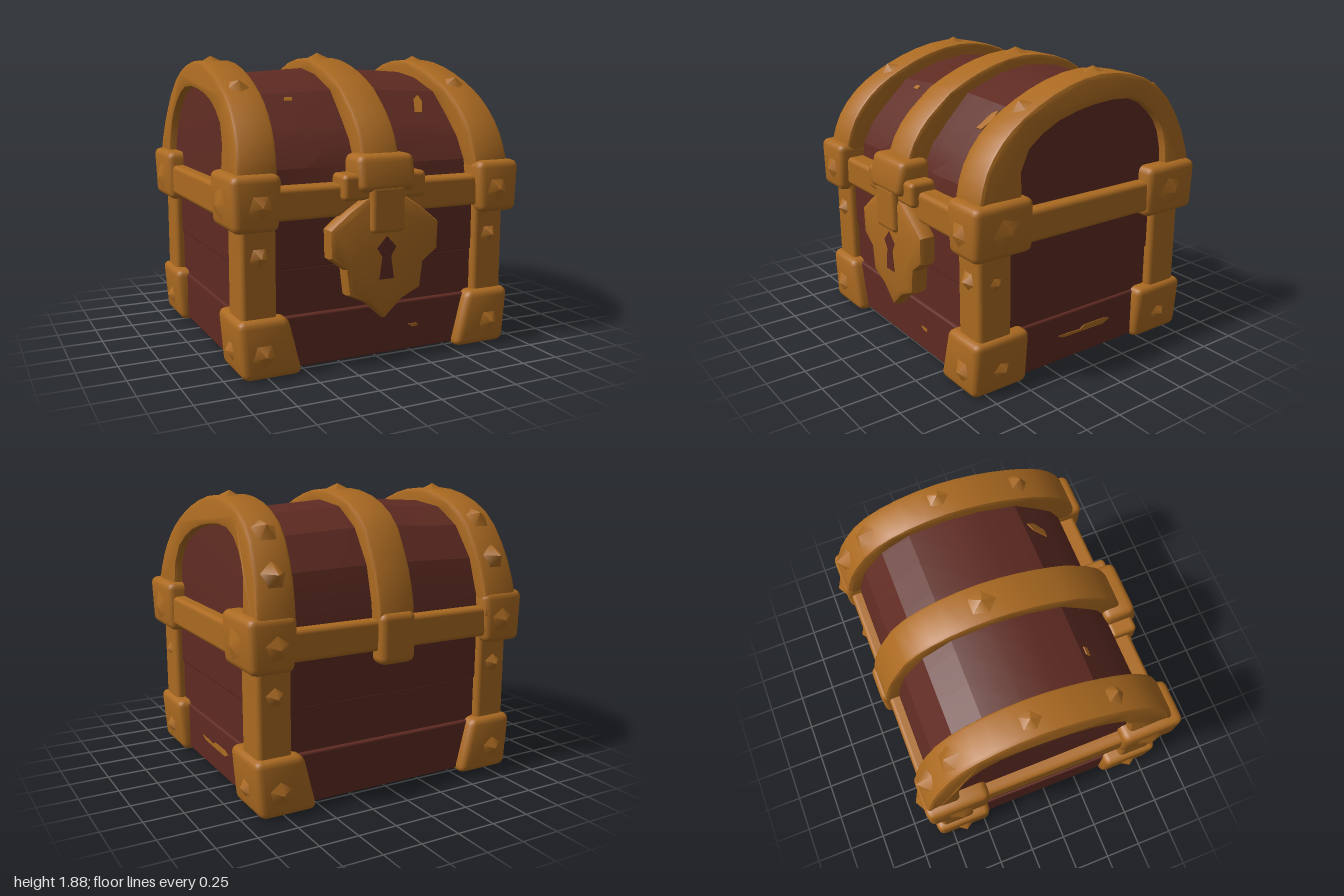
import * as THREE from 'three';
import { RoundedBoxGeometry } from 'three/addons/geometries/RoundedBoxGeometry.js';
import { toCreasedNormals } from 'three/addons/utils/BufferGeometryUtils.js';

const gold = new THREE.MeshStandardMaterial({ color: 0xab6a21 });
gold.name = 'gold';
const wood = new THREE.MeshStandardMaterial({ color: 0x5f2b22 });
wood.name = 'red wood';

// Lid profile as [z, y], front to back
const lidProfile = [[0.71, 1.0], [0.68, 1.2], [0.61, 1.34], [0.51, 1.45], [0.34, 1.62], [0.1, 1.71],
  [-0.12, 1.745], [-0.37, 1.72], [-0.56, 1.61], [-0.7, 1.41], [-0.76, 1.2], [-0.78, 1.0]];
// Outer edge of the bands, front to back
const bandProfile = [[0.8, 1.08], [0.8, 1.22], [0.73, 1.4], [0.59, 1.56], [0.4, 1.68], [0.15, 1.78],
  [-0.12, 1.825], [-0.4, 1.785], [-0.63, 1.66], [-0.78, 1.43], [-0.85, 1.2], [-0.86, 1.05]];
// Opening of the end bands, back to front
const archOpening = [[-0.63, 1.0], [-0.63, 1.33], [-0.55, 1.51], [-0.36, 1.64], [-0.05, 1.64],
  [0.27, 1.56], [0.49, 1.38], [0.5, 1.0]];

const vec = (pts) => pts.map(([a, b]) => new THREE.Vector2(a, b));

function warp(geo, rule) {
  const p = geo.attributes.position;
  const v = new THREE.Vector3();
  for (let i = 0; i < p.count; i++) {
    rule(v.fromBufferAttribute(p, i));
    p.setXYZ(i, v.x, v.y, v.z);
  }
  geo.computeVertexNormals();
  return geo;
}

// The chest narrows towards the top of the lid, and its roof rises to the middle
const lean = (v) => {
  if (v.y > 1.2) v.x *= 1 - 0.1 * (v.y - 1.2);
};
const roof = (v) => {
  v.y += Math.max(0, v.y - 1.2) * 0.065 * (1 - Math.abs(v.x) / 0.6);
  lean(v);
};

// Extrudes a [z, y] shape across x, from x0 to x1
function across(shape, x0, x1, bevel, steps, rule, crease = 0.6) {
  const geo = new THREE.ExtrudeGeometry(shape, {
    depth: x1 - x0 - 2 * bevel, steps, curveSegments: 2, bevelEnabled: bevel > 0,
    bevelSize: bevel, bevelThickness: bevel, bevelOffset: -bevel, bevelSegments: 2,
  });
  geo.rotateY(-Math.PI / 2).translate(x1 - bevel, 0, 0);
  return toCreasedNormals(warp(geo, rule), crease);
}

export function createModel() {
  const model = new THREE.Group();
  model.name = 'treasureChest';
  const add = (name, geo, mat) => {
    const m = new THREE.Mesh(geo, mat);
    m.name = name;
    model.add(m);
    return m;
  };
  // Rounded box given by its limits, with an optional warp
  const block = (name, [x0, x1], [y0, y1], [z0, z1], mat = gold, r = 0.03, rule) => {
    const geo = new RoundedBoxGeometry(x1 - x0, y1 - y0, z1 - z0, 2, r);
    geo.translate((x0 + x1) / 2, (y0 + y1) / 2, (z0 + z1) / 2);
    return add(name, rule ? toCreasedNormals(warp(geo, rule), 0.8) : geo, mat);
  };

  // Wooden body: three stacked planks, each a little different
  [[0.02, 0.34, 0.86, 0.775], [0.33, 0.63, 0.845, 0.75], [0.62, 1.02, 0.855, 0.76]].forEach(([y0, y1, x, z]) =>
    block('bodyPlank', [-x, x], [y0, y1], [-z, z], wood, 0.015));

  // Wooden lid
  add('lid', across(new THREE.Shape(vec(lidProfile)), -0.865, 0.865, 0, 8, roof, 0.3), wood);

  // Arched bands at both ends of the lid, and the narrow one in the middle
  const outer = vec(bandProfile);
  const band = (inner) => {
    const s = new THREE.Shape();
    s.moveTo(outer[0].x, outer[0].y);
    s.splineThru(outer.slice(1));
    s.lineTo(inner[0].x, inner[0].y);
    s.splineThru(inner.slice(1));
    return s;
  };
  const endBand = band(vec(archOpening));
  add('leftLidBand', across(endBand, 0.67, 0.92, 0.025, 1, lean), gold);
  add('rightLidBand', across(endBand, -0.92, -0.67, 0.025, 1, lean), gold);
  const middle = band(vec(lidProfile.map(([z, y]) => [z * 0.94, y - 0.05])).reverse());
  add('middleLidBand', across(middle, -0.125, 0.125, 0.02, 1, (v) => { if (v.y > 1.6) v.y += 0.015; }), gold);
  block('middleBandTail', [-0.125, 0.125], [0.83, 1.15], [-0.885, -0.75], gold, 0.045);

  // Rails around the rim
  block('frontRail', [-0.8, 0.8], [0.915, 1.11], [0.64, 0.81]);
  block('backRail', [-0.8, 0.8], [0.915, 1.11], [-0.84, -0.64]);
  for (const s of [-1, 1]) {
    const span = (a, b) => (s > 0 ? [a, b] : [-b, -a]);
    block('sideRail', span(0.78, 0.94), [0.91, 1.11], [-0.7, 0.7]);

    // Corner posts, rim blocks and feet
    for (const f of [-1, 1]) {
      const depth = (a, b) => (f > 0 ? [a, b] : [-b, -a]);
      block('cornerPost', span(0.68, 0.9), [0.25, 0.95], depth(0.565, 0.8));
      block('rimCorner', span(0.68, 0.985), [0.87, 1.2], depth(0.455, 0.867), gold, 0.045, (v) => {
        if (v.y > 1.1) v.x -= s * 0.015;
        else if (v.y < 0.95 && Math.abs(v.x) > 0.85) v.x -= s * 0.025;
      });
      block('footCorner', span(0.53, 0.935), [0, 0.36], depth(0.45, 0.845), gold, 0.045, (v) => {
        const t = Math.max(0, v.y / 0.36);
        if (Math.abs(v.x) < 0.7) v.x += s * 0.09 * t;
        else v.x -= s * 0.03 * (1 - t);
      });
    }
  }

  // Lock plate with pointed lower edge
  const half = [[0.11, 1.04], [0.25, 0.95], [0.375, 0.85], [0.37, 0.675], [0.27, 0.6], [0.25, 0.44], [0.12, 0.38]];
  const outline = [...half, [0, 0.27], ...half.map(([x, y]) => [-x, y]).reverse()];
  const plate = new THREE.ExtrudeGeometry(new THREE.Shape(vec(outline)), {
    depth: 0.05, bevelThickness: 0.04, bevelSize: 0.04, bevelOffset: -0.04, bevelSegments: 2,
  });
  plate.translate(0, 0, 0.78);
  add('lockPlate', toCreasedNormals(plate, 0.6), gold);

  // Keyhole
  const keyHalf = [[0.065, 0.72], [0.03, 0.665], [0.05, 0.525]];
  const key = new THREE.Shape(vec([[0, 0.79], ...keyHalf, ...keyHalf.map(([x, y]) => [-x, y]).reverse()]));
  add('keyhole', new THREE.ExtrudeGeometry(key, { depth: 0.008, bevelEnabled: false }).translate(0, 0, 0.865), wood);

  // Clasp: hinge bar, cap and tongue
  block('claspBar', [-0.28, 0.28], [1.01, 1.17], [0.68, 0.86]);
  block('claspCap', [-0.19, 0.19], [1.06, 1.28], [0.66, 0.905], gold, 0.045, (v) => {
    if (v.y > 1.2 && v.z > 0.8) v.z -= 0.03;
  });
  block('claspTongue', [-0.115, 0.115], [0.81, 1.1], [0.76, 0.9]);

  // Shallow hammered peaks on the metal: position, then outward direction
  const peak = (p, n, r = 0.1, h = 0.06) => {
    const m = add('hammeredPeak', new THREE.ConeGeometry(r, h, 5), gold);
    m.position.set(...p);
    m.quaternion.setFromUnitVectors(new THREE.Vector3(0, 1, 0), new THREE.Vector3(...n).normalize());
  };
  peak([0, 1.85, -0.13], [0, 1, 0], 0.11, 0.05);
  peak([0.905, 0.7, 0.68], [1, 0, 0], 0.07, 0.04);
  for (const s of [-1, 1]) {
    peak([s * 0.76, 1.83, -0.13], [0, 1, 0], 0.1, 0.05);
    peak([s * 0.76, 1.685, 0.41], [0, 1, 0.5]);
    peak([s * 0.76, 1.67, -0.64], [0, 1, -0.9]);
    peak([s * 0.78, 1.42, -0.815], [0, 0.3, -1], 0.09, 0.08);
    peak([s * 0.985, 1.02, 0.65], [s, 0, 0], 0.1, 0.03);
    peak([s * 0.985, 1.02, -0.65], [s, 0, 0], 0.1, 0.03);
    for (const f of [-1, 1]) {
      peak([s * 0.8, 1.02, f * 0.88], [0, 0, f], 0.1, 0.05);
      peak([s * 0.78, 0.15, f * 0.86], [0, 0, f], 0.09, 0.05);
      peak([s * 0.93, 0.15, f * 0.65], [s, 0, 0], 0.08, 0.05);
      peak([s * 0.79, 0.72, f * 0.815], [0, 0, f], 0.08, 0.06);
    }
  }

  // Bare golden patches on the wood
  const patch = (pts, place) => {
    const geo = new THREE.ExtrudeGeometry(new THREE.Shape(vec(pts)), { depth: 0.008, bevelEnabled: false });
    place(add('wornPatch', geo, gold));
  };
  patch([[-0.18, 0.2], [-0.14, 0.18], [0.2, 0.175], [0.25, 0.2], [0.2, 0.215], [0.04, 0.215], [0, 0.195]], (m) => {
    m.rotation.y = Math.PI / 2;
    m.position.x = 0.857;
  });
  patch([[0.21, 0.185], [0.24, 0.165], [0.28, 0.165], [0.28, 0.185]], (m) => { m.position.z = 0.772; });
  const onLid = (x, y, z) => (m) => {
    m.position.set(x, y, z);
    m.rotation.x = -Math.PI / 4;
  };
  patch([[-0.05, -0.07], [0, -0.07], [0.04, 0.02], [0.03, 0.08], [-0.01, 0.05]], onLid(0.47, 1.538, 0.426));
  patch([[-0.03, -0.015], [0.02, -0.015], [0.03, 0.015], [-0.02, 0.015]], onLid(-0.43, 1.588, 0.378));
  return model;
}
